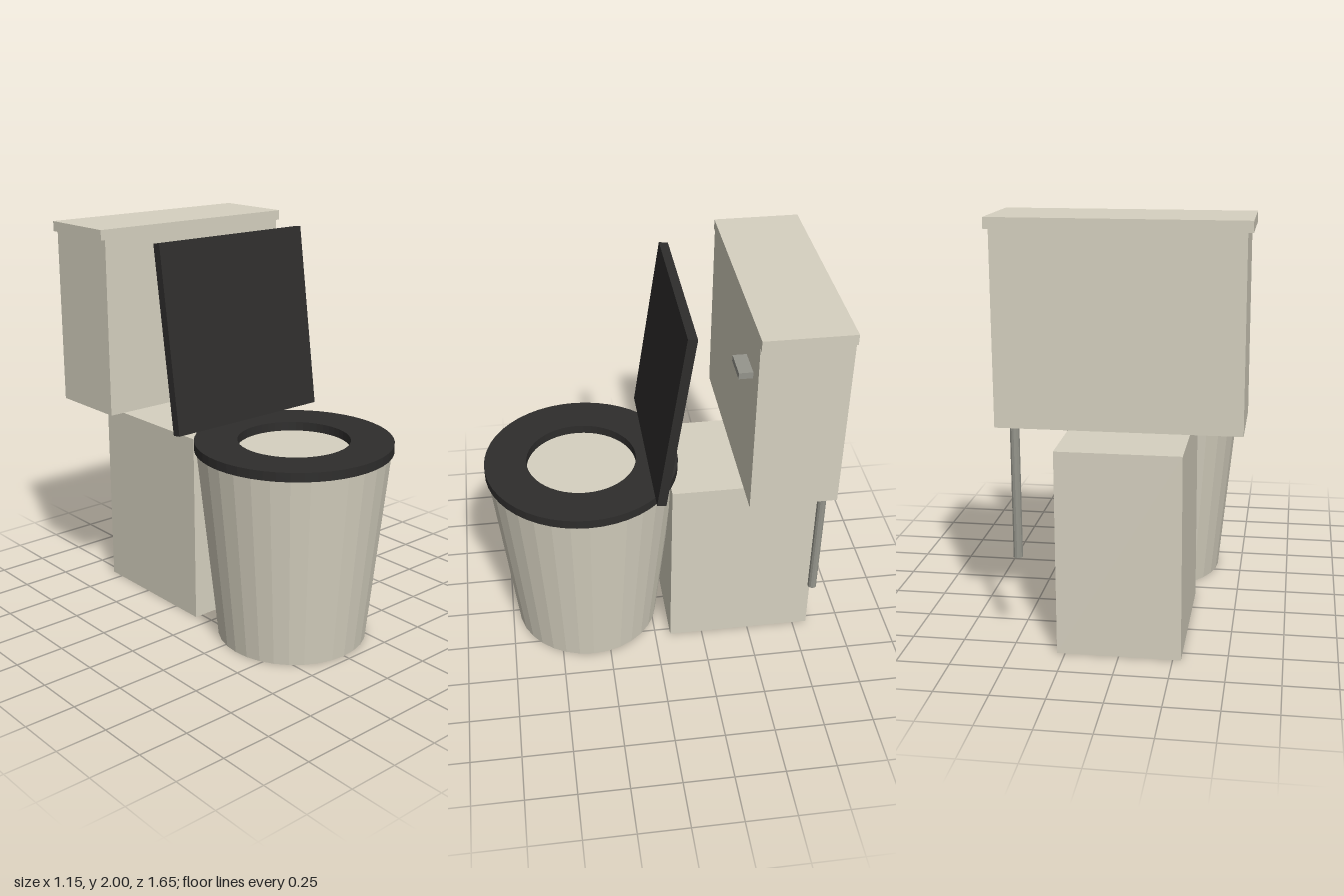
import * as THREE from 'three';

const ivory = new THREE.MeshStandardMaterial({ color: 0xd6d1c0, flatShading: true });
const dark = new THREE.MeshStandardMaterial({ color: 0x2e2d2c, flatShading: true });
const metal = new THREE.MeshStandardMaterial({ color: 0x95958c, flatShading: true });

export function createModel() {
  const model = new THREE.Group();

  function add(name, geometry, material, x, y, z) {
    const mesh = new THREE.Mesh(geometry, material);
    mesh.name = name;
    mesh.position.set(x, y, z);
    model.add(mesh);
    return mesh;
  }

  // Box given by its lower and upper limits
  function addBox(name, material, [x0, x1], [y0, y1], [z0, z1]) {
    return add(name, new THREE.BoxGeometry(x1 - x0, y1 - y0, z1 - z0), material,
      (x0 + x1) / 2, (y0 + y1) / 2, (z0 + z1) / 2);
  }

  // Tapered bowl with a closed top
  const bowlZ = 0.341;
  add('bowl', new THREE.CylinderGeometry(0.475, 0.374, 0.975, 32), ivory, 0, 0.4875, bowlZ);

  // Ring seat: a rectangular section turned about the bowl axis
  const section = [[0.275, 0], [0.485, 0], [0.485, 0.045], [0.275, 0.045], [0.275, 0]]
    .map(([r, y]) => new THREE.Vector2(r, y));
  add('seat', new THREE.LatheGeometry(section, 48), dark, 0, 0.975, bowlZ);

  // Raised seat cover, leaning back
  const cover = add('seatCover', new THREE.BoxGeometry(0.9, 0.92, 0.045), dark, 0, 1.5, -0.068);
  cover.rotation.x = -0.14;

  // Pedestal behind the bowl
  addBox('pedestal', ivory, [-0.288, 0.288], [0, 0.975], [-0.825, -0.08]);

  // Water tank, its lid and flush handle
  addBox('tank', ivory, [-0.55, 0.55], [1.075, 1.95], [-0.825, -0.405]);
  addBox('tankLid', ivory, [-0.573, 0.573], [1.95, 2], [-0.825, -0.405]);
  addBox('flushHandle', metal, [0.3, 0.45], [1.735, 1.766], [-0.405, -0.34]);

  // Supply pipe below the tank
  add('supplyPipe', new THREE.CylinderGeometry(0.022, 0.022, 0.625, 12), metal, 0.47, 0.7625, -0.777);

  return model;
}
